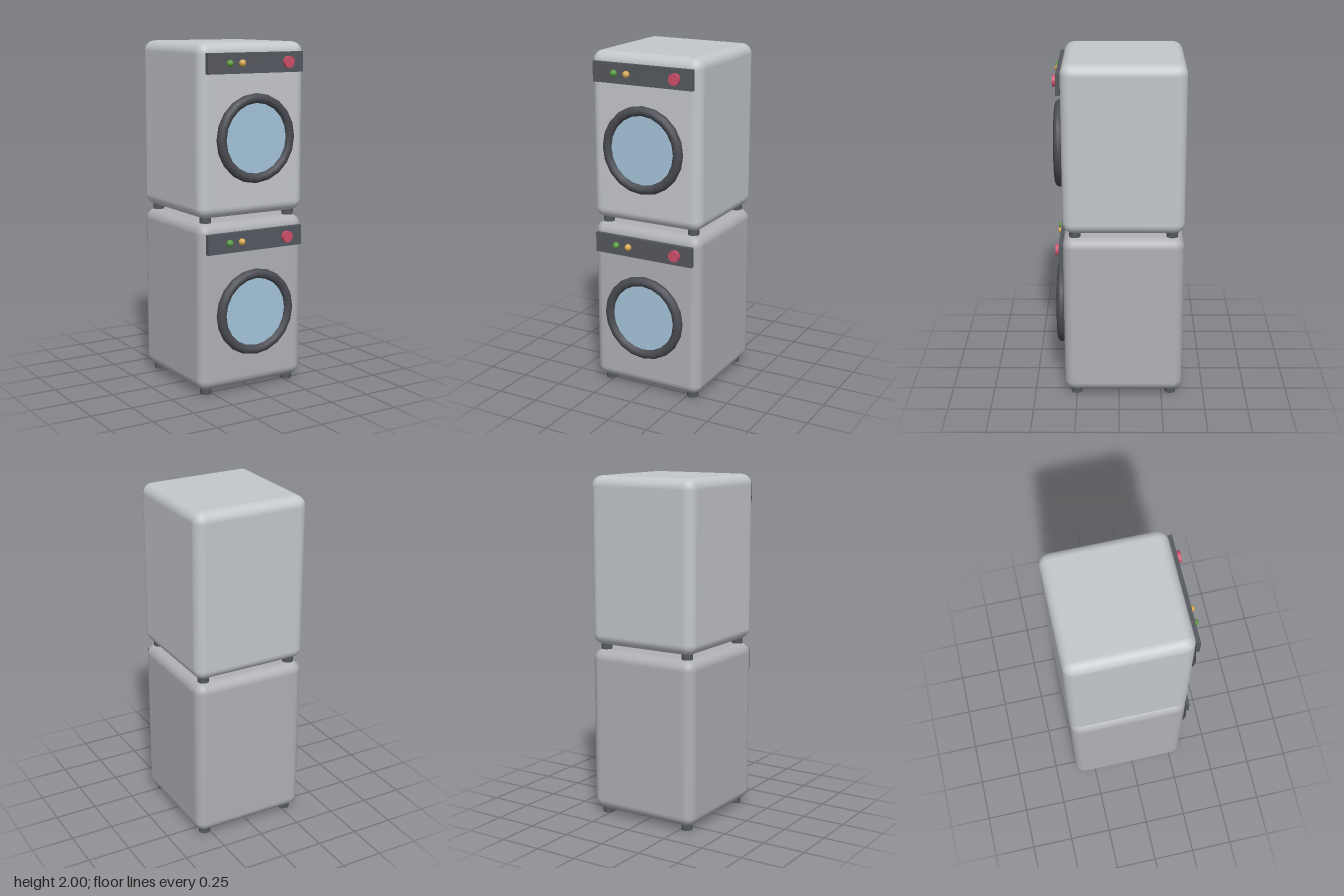
import * as THREE from 'three';
import { RoundedBoxGeometry } from 'three/addons/geometries/RoundedBoxGeometry.js';

const paint = (color) => new THREE.MeshStandardMaterial({ color });
const dark = paint(0x55585f);
const rubber = paint(0x4a4c53);
const glass = paint(0xa5c5db);
const red = paint(0xcc4f6a);
const green = paint(0x5c9c44);
const amber = paint(0xd9ac55);

function add(parent, name, geometry, material, x, y, z) {
  const mesh = new THREE.Mesh(geometry, material);
  mesh.name = name;
  mesh.position.set(x, y, z);
  parent.add(mesh);
  return mesh;
}

// Cylinder whose axis points to the front
const disc = (radius, depth, sides) =>
  new THREE.CylinderGeometry(radius, radius, depth, sides).rotateX(Math.PI / 2);

// One front-loading machine standing on y = 0
function createMachine(name, bodyColor) {
  const machine = new THREE.Group();
  machine.name = name;
  const midZ = -0.025;

  add(machine, 'cabinet', new RoundedBoxGeometry(0.694, 0.972, 0.694, 4, 0.06),
    paint(bodyColor), 0, 0.514, midZ);

  // Feet
  for (const sx of [-1, 1]) {
    for (const sz of [-1, 1]) {
      add(machine, 'foot', new THREE.CylinderGeometry(0.033, 0.033, 0.05, 16),
        dark, sx * 0.278, 0.025, midZ + sz * 0.278);
    }
  }

  // Door
  add(machine, 'doorRing', new THREE.TorusGeometry(0.225, 0.028, 12, 20), rubber, 0, 0.468, 0.342);
  add(machine, 'doorGlass', disc(0.2, 0.03, 40), glass, 0, 0.468, 0.331);

  // Control panel with lamps and knob
  add(machine, 'controlPanel', new THREE.BoxGeometry(0.626, 0.115, 0.024), dark, 0, 0.888, 0.333);
  add(machine, 'greenLamp', new THREE.SphereGeometry(0.02, 16, 12), green, -0.175, 0.888, 0.35);
  add(machine, 'amberLamp', new THREE.SphereGeometry(0.02, 16, 12), amber, -0.095, 0.888, 0.35);
  add(machine, 'knob', disc(0.033, 0.03, 16), red, 0.208, 0.888, 0.352);
  return machine;
}

export function createModel() {
  const model = new THREE.Group();
  model.name = 'stackedLaundryMachines';
  const upper = createMachine('upperMachine', 0xc4c7cb);
  upper.position.y = 1;
  model.add(createMachine('lowerMachine', 0xafb1b5), upper);
  return model;
}
